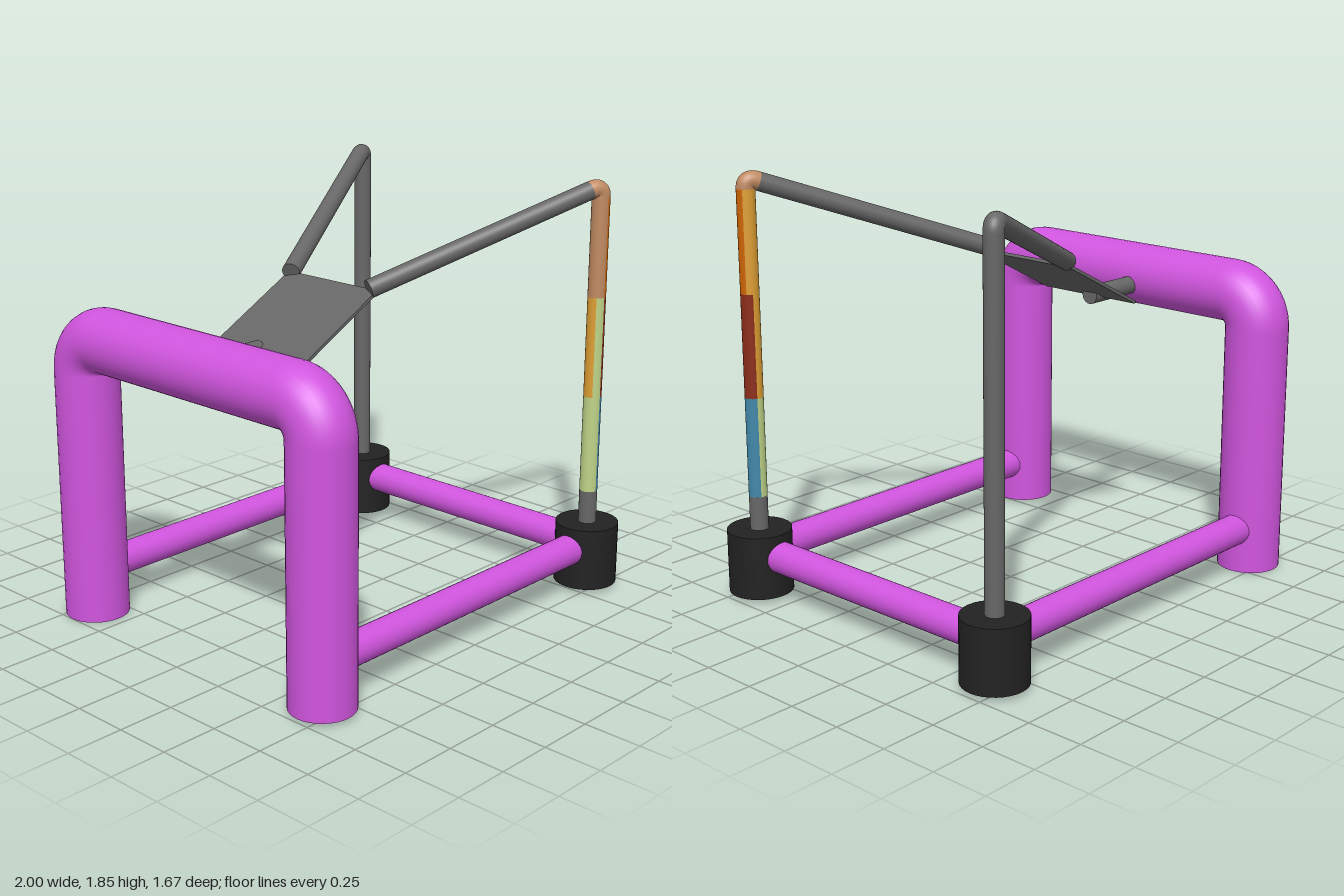
import * as THREE from 'three';

const mat = (name, color) => Object.assign(new THREE.MeshStandardMaterial({ color }), { name });
const V = (x, y, z) => new THREE.Vector3(x, y, z);

export function createModel() {
  const model = new THREE.Group();
  model.name = 'frameWithRaisedPlate';
  const purple = mat('purple', 0xd055de);
  const black = mat('black', 0x222222);
  const grey = mat('grey', 0x676767);
  const tan = mat('tan', 0xc08a62);
  const orange = mat('orange', 0xcf6605);
  const amber = mat('amber', 0xe0a035);
  const red = mat('brick red', 0x8c2e1a);
  const green = mat('pale green', 0xbfd488);
  const blue = mat('blue', 0x4288aa);

  const add = (name, geometry, material, pos = V(0, 0, 0)) => {
    const mesh = new THREE.Mesh(geometry, material);
    mesh.name = name;
    mesh.position.copy(pos);
    model.add(mesh);
    return mesh;
  };

  // Straight round bar between two points
  const rod = (name, a, b, r, material) => {
    const mesh = add(name, new THREE.CylinderGeometry(r, r, a.distanceTo(b), 32), material,
      a.clone().add(b).multiplyScalar(0.5));
    mesh.quaternion.setFromUnitVectors(V(0, 1, 0), b.clone().sub(a).normalize());
    return mesh;
  };

  // Thick arch: two legs, two rounded corners and a top bar
  const ax = -0.86, ay = 1.25, tube = 0.139, bend = 0.145;
  const legs = [{ z: 0.695, y: 0.015, s: 1 }, { z: -0.68, y: 0, s: -1 }];
  for (const { z, y, s } of legs) {
    rod('archLeg', V(ax, y, z), V(ax, ay - bend, z), tube, purple);
    const corner = add('archCorner', new THREE.TorusGeometry(bend, tube, 32, 16, Math.PI / 2),
      purple, V(ax, ay - bend, z - s * bend));
    corner.rotation.y = -s * Math.PI / 2;
  }
  rod('archTop', V(ax, ay, legs[1].z + bend), V(ax, ay, legs[0].z - bend), tube, purple);

  // Base rails joining the arch and the two feet
  const px = 0.86, zf = 0.687, zb = -0.7, railY = 0.195;
  for (const z of [0.685, -0.69]) rod('sideRail', V(-0.8, railY, z), V(px - 0.05, railY, z), 0.069, purple);
  rod('crossRail', V(px - 0.005, railY, zb + 0.05), V(px - 0.005, railY, zf - 0.05), 0.069, purple);

  // Feet, posts, elbows and sloping arms
  const r = 0.04, bendY = 1.78;
  const posts = [
    { z: zf, top: 0.45, end: V(-0.085, 1.46, 0.215), elbow: tan },
    { z: zb, top: bendY, end: V(-0.085, 1.46, -0.24), elbow: grey },
  ];
  for (const { z, top, end, elbow } of posts) {
    rod('foot', V(px, 0.02, z), V(px, 0.3, z), 0.14, black);
    rod('post', V(px, 0.01, z), V(px, top, z), r, grey);
    const corner = V(px, 1.825, z);
    const start = corner.clone().lerp(end, 0.05);
    const curve = new THREE.QuadraticBezierCurve3(V(px, bendY, z), corner, start);
    add('elbow', new THREE.TubeGeometry(curve, 12, r, 32), elbow);
    rod('arm', start, end, r, grey);
  }

  // Painted bands on the front post; angles run from +x towards +z in degrees
  const bands = [
    [1.34, bendY, [[-30, 90, orange], [90, 225, tan], [225, 330, amber]]],
    [0.89, 1.34, [[-70, 90, red], [90, 145, green], [145, 290, amber]]],
    [0.45, 0.89, [[-70, 90, blue], [90, 290, green]]],
  ];
  for (const [y0, y1, sectors] of bands) {
    for (const [a, b, material] of sectors) {
      const geometry = new THREE.CylinderGeometry(r, r, y1 - y0, Math.ceil((b - a) / 10), 1, true,
        THREE.MathUtils.degToRad(90 - b), THREE.MathUtils.degToRad(b - a));
      add('postBand', geometry, material, V(px, (y0 + y1) / 2, zf));
    }
  }

  // Tilted plate and the stub holding it to the arch
  const plate = add('plate', new THREE.BoxGeometry(0.508, 0.014, 0.515), grey, V(-0.284, 1.331, -0.018));
  plate.rotation.z = Math.atan2(0.235, 0.45);
  rod('plateStub', V(-0.8, 1.222, -0.063), V(-0.45, 1.222, -0.063), r, grey);

  return model;
}
